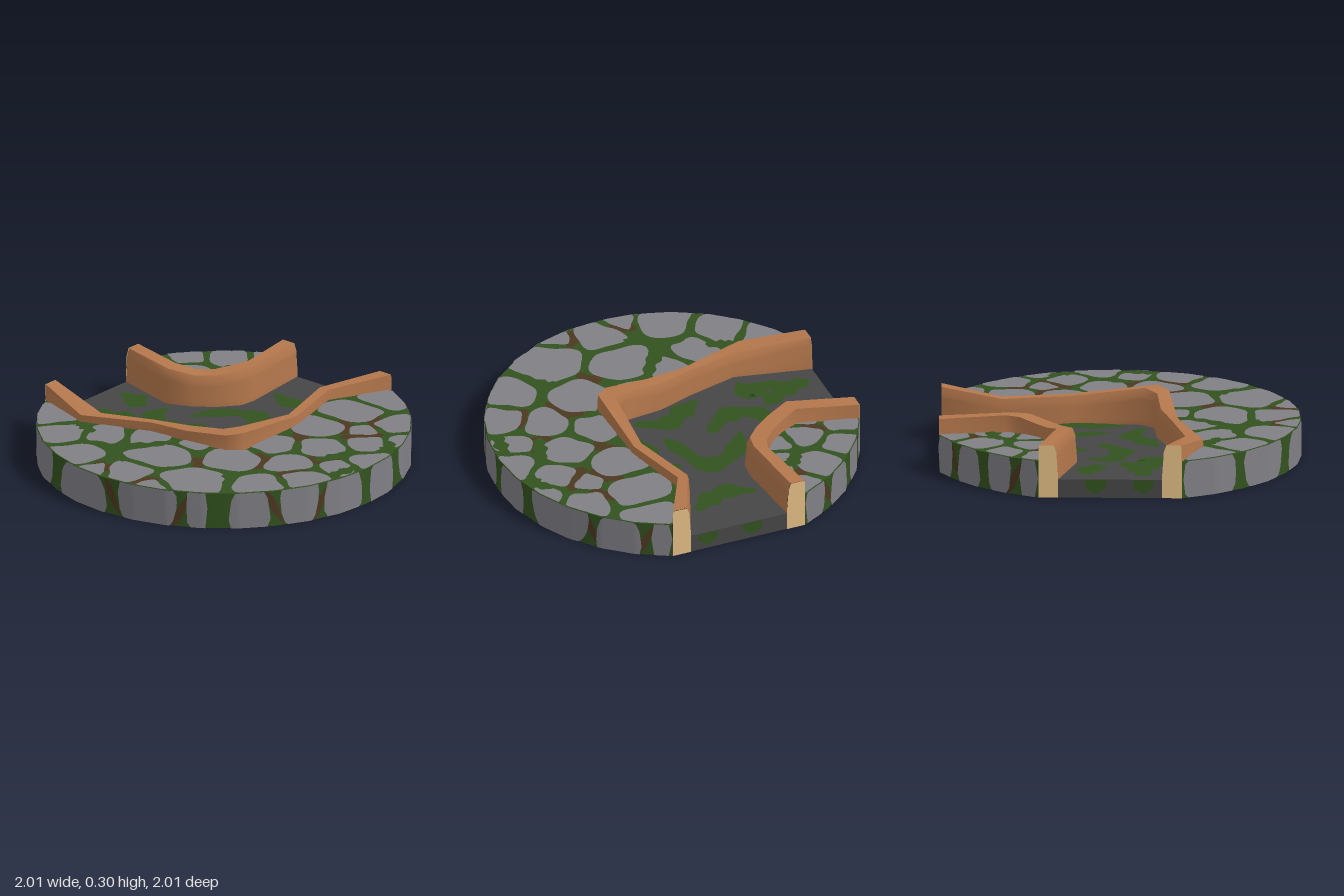
import * as THREE from 'three';
import { mergeGeometries, toCreasedNormals } from 'three/addons/utils/BufferGeometryUtils.js';

const material = (name, color) => {
  const m = new THREE.MeshStandardMaterial({ color, side: THREE.DoubleSide });
  m.name = name;
  return m;
};
const RAD = Math.PI / 180, TOP = 0.2, FLOOR = 0.1;

// Wall stations: channel side x, z, ground side x, z, top height
const MAIN_WALL = [
  [-0.85, -0.457, -0.924, -0.383, 0.29], [-0.62, -0.1, -0.765, -0.07, 0.237], [-0.37, 0.05, -0.395, 0.1, 0.252],
  [-0.19, 0.14, -0.22, 0.24, 0.255], [-0.03, 0.27, -0.02, 0.395, 0.285], [0.065, 0.27, 0.075, 0.4, 0.298],
  [0.33, 0.03, 0.39, 0.06, 0.25], [0.525, -0.32, 0.58, -0.27, 0.258], [0.85, -0.457, 0.924, -0.383, 0.287]];
const BACK_WALL = [
  [-0.457, -0.85, -0.383, -0.924, 0.286], [-0.27, -0.53, -0.21, -0.63, 0.292], [-0.13, -0.475, -0.1, -0.59, 0.27],
  [0, -0.46, 0, -0.58, 0.272], [0.13, -0.475, 0.11, -0.595, 0.29], [0.2, -0.53, 0.18, -0.63, 0.293],
  [0.457, -0.85, 0.383, -0.924, 0.286]];
// Wall cross-section: position across, height (zero or less counts down from the top)
const PROFILE = [[0, FLOOR], [0, 0.13], [0.07, -0.06], [0.07, -0.04], [0.21, 0], [0.97, 0], [1, TOP]];

// Paving stones: x, z, relative size
const FRONT_STONES = [
  [-0.9, -0.17, 0.13], [-0.87, 0.09, 0.13], [-0.65, 0.13, 0.11], [-0.83, 0.4, 0.15], [-0.36, 0.45, 0.18],
  [-0.57, 0.66, 0.15], [-0.24, 0.8, 0.2], [0, 0.53, 0.17], [0.3, 0.61, 0.14], [0.24, 0.35, 0.12], [0.12, 0.88, 0.14],
  [0.36, 0.82, 0.13], [0.5, 0.4, 0.14], [0.73, 0.37, 0.12], [0.72, -0.07, 0.17], [0.52, 0.12, 0.14], [0.89, 0.1, 0.12],
  [0.88, -0.22, 0.12], [0.73, 0.61, 0.12], [0.55, 0.68, 0.1], [0.92, 0.34, 0.08], [-0.42, 0.2, 0.1],
  [-0.18, 0.31, 0.08], [-0.46, 0.87, 0.1], [0.73, 0.17, 0.09], [-0.75, 0.62, 0.1]];
const BACK_STONES = [
  [-0.29, -0.83, 0.09], [-0.13, -0.9, 0.1], [-0.13, -0.73, 0.11], [0.1, -0.87, 0.12], [0.29, -0.88, 0.08],
  [0.22, -0.74, 0.06], [0.01, -0.63, 0.06], [0.12, -0.68, 0.05], [-0.25, -0.68, 0.06]];
// Rim stones: start and end angle in degrees from the front
const RIM_STONES = [
  [-112, -93], [-90, -70], [-65, -43], [-39, -19], [-16, -9.5], [-3, 10], [13, 26], [28, 43], [46.5, 60], [64, 86],
  [88.5, 103], [106, 112.5], [157.5, 167], [170, 181], [184, 193], [196, 202.5]];

const rimRadius = (a) => {
  const step = 11.25, local = a - step * (Math.floor(a / step) + 0.5);
  return Math.cos(step / 2 * RAD) / Math.cos(local * RAD);
};
const rimPoint = (a, y, out) => {
  const r = rimRadius(a) + out;
  return [Math.sin(a * RAD) * r, y, Math.cos(a * RAD) * r];
};
function arc(from, to) {
  const pts = [];
  for (let a = from; a <= to + 0.01; a += 11.25) pts.push([Math.sin(a * RAD), Math.cos(a * RAD)]);
  return pts;
}
const channelSide = ([x, z]) => [x, z];
const groundSide = ([, , x, z]) => [x, z];

// Surface through rows of points
function loft(rows) {
  const n = rows[0].length, index = [];
  for (let i = 0; i < rows.length - 1; i++) for (let j = 0; j < n - 1; j++) {
    const a = i * n + j, b = a + n;
    index.push(a, b, a + 1, b, b + 1, a + 1);
  }
  const g = new THREE.BufferGeometry();
  g.setAttribute('position', new THREE.Float32BufferAttribute(rows.flat(2), 3));
  g.setIndex(index);
  g.computeVertexNormals();
  return g;
}
// Flat sheet from x, z outline
const sheet = (pts, y) => new THREE.ShapeGeometry(new THREE.Shape(pts.map(([x, z]) => new THREE.Vector2(x, -z))))
  .rotateX(-Math.PI / 2).translate(0, y, 0);

function inside(x, z, poly) {
  let hit = false;
  poly.forEach(([ax, az], i) => {
    const [bx, bz] = poly[(i + 1) % poly.length];
    if ((az > z) !== (bz > z) && x < (bx - ax) * (z - az) / (bz - az) + ax) hit = !hit;
  });
  return hit;
}
// Rounded, slightly uneven outline that keeps a gap to its neighbours and stays within the ground
function stoneOutline(stone, all, ground) {
  const [x, z, size] = stone, pts = [];
  for (let k = 0; k < 40; k++) {
    const a = k * 9 * RAD, dx = Math.cos(a), dz = Math.sin(a);
    let sum = (1 / (size * 1.35)) ** 7;
    for (const o of all) {
      if (o === stone) continue;
      const ex = o[0] - x, ez = o[1] - z, d = Math.hypot(ex, ez);
      const c = (dx * ex + dz * ez) / d;
      if (c > 0) sum += (c / (d * size / (size + o[2]) - 0.014)) ** 7;
    }
    let r = sum ** (-1 / 7) * (0.97 + 0.05 * Math.sin(3 * a + x * 40) + 0.03 * Math.sin(5 * a + z * 50));
    while (r > 0.01 && !inside(x + dx * r, z + dz * r, ground)) r *= 0.97;
    pts.push([x + dx * r, z + dz * r]);
  }
  return pts;
}
// Flat tapered stroke along a smooth path
function stroke(path, width, y) {
  const curve = new THREE.CatmullRomCurve3(path.map(([x, z]) => new THREE.Vector3(x, y, z)));
  const rows = [];
  for (let i = 0; i <= 24; i++) {
    const t = i / 24, p = curve.getPoint(t), d = curve.getTangent(t);
    const w = width * Math.sqrt(Math.sin(Math.PI * t) + 0.02) * (1 + 0.25 * Math.sin(t * 17 + path[0][0] * 9));
    rows.push([[p.x - d.z * w, y, p.z + d.x * w], [p.x + d.z * w, y, p.z - d.x * w]]);
  }
  return loft(rows);
}
// Patch following the faceted rim
function rimPatch(from, to, shape, out) {
  const angles = [from, to];
  for (let a = Math.ceil(from / 1.125) * 1.125; a < to; a += 1.125) angles.push(a);
  angles.sort((p, q) => p - q);
  return loft(angles.map((a) => shape((a - from) / (to - from)).map((y) => rimPoint(a, y, out))));
}

export function createModel() {
  const model = new THREE.Group();
  const stone = material('grey stone', 0x807f85), moss = material('moss green', 0x32521f);
  const soil = material('brown soil', 0x4c3820), dark = material('dark channel bed', 0x464646);
  const clay = material('terracotta wall', 0xb4774c), cut = material('pale cut end', 0xe2bd84);
  const add = (name, geometry, mat) => {
    const m = new THREE.Mesh(geometry, mat);
    m.name = name;
    model.add(m);
  };
  const both = (y, off, make) => [make(y + off), make(y - off)];
  const strokes = (paths, width, y, off) => mergeGeometries(paths.flatMap((p) => both(y, off, (h) => stroke(p, width, h))));

  // Ground sheets and rims, open underneath
  const frontGround = [...arc(-112.5, 112.5), ...MAIN_WALL.map(groundSide).reverse().slice(1, -1)];
  const backGround = [...arc(157.5, 202.5), ...BACK_WALL.map(groundSide).slice(1, -1)];
  add('frontGround', sheet(frontGround, TOP), moss);
  add('backGround', sheet(backGround, TOP), moss);
  const wallStrip = (pts, h) => loft(pts.map(([x, z]) => [[x, 0, z], [x, h, z]]));
  add('frontRim', toCreasedNormals(wallStrip(arc(-112.5, 112.5), TOP), 0.4), moss);
  add('backRim', toCreasedNormals(wallStrip(arc(157.5, 202.5), TOP), 0.4), moss);

  // Paving stones on both faces of each sheet
  for (const [name, list, ground] of [['frontStones', FRONT_STONES, frontGround], ['backStones', BACK_STONES, backGround]]) {
    const outlines = list.map((s) => stoneOutline(s, list, ground));
    add(name, mergeGeometries(outlines.flatMap((o) => both(TOP, 0.004, (y) => sheet(o, y)))), stone);
  }
  // Soil showing in the gaps
  const soilPaths = [
    [[-0.2, 0.48], [-0.17, 0.56], [-0.2, 0.62]], [[0.14, 0.45], [0.17, 0.55], [0.12, 0.68]],
    [[-0.58, 0.78], [-0.52, 0.78], [-0.4, 0.76]], [[0.36, 0.3], [0.4, 0.22], [0.36, 0.12]],
    [[0.6, 0.27], [0.7, 0.25], [0.84, 0.24]], [[0.42, 0.52], [0.46, 0.58], [0.58, 0.55]],
    [[0.22, 0.74], [0.28, 0.76], [0.4, 0.71]], [[0.62, 0.02], [0.64, 0.11], [0.62, 0.22]],
    [[-0.72, 0.5], [-0.68, 0.58], [-0.69, 0.64]], [[0.82, -0.02], [0.8, 0.06], [0.8, 0.15]],
    [[-0.22, -0.8], [-0.2, -0.74], [-0.22, -0.66]], [[0.2, -0.86], [0.22, -0.82], [0.27, -0.8]]];
  add('soilGaps', strokes(soilPaths, 0.042, TOP, 0.002), soil);

  // Moss grown over the edges of some stones
  const overgrowth = [
    [[-0.75, 0.22], [-0.64, 0.29], [-0.6, 0.4], [-0.58, 0.52]], [[-0.78, -0.04], [-0.74, 0.02], [-0.71, 0.1]],
    [[-0.6, 0.27], [-0.45, 0.3], [-0.3, 0.26]], [[-0.06, 0.68], [-0.03, 0.76], [-0.06, 0.92]],
    [[0.44, 0.58], [0.52, 0.55], [0.62, 0.48]], [[0.5, 0.8], [0.58, 0.75], [0.66, 0.68]],
    [[0.78, 0.5], [0.84, 0.44], [0.86, 0.34]], [[0.06, -0.76], [0.14, -0.75], [0.24, -0.68]]];
  add('overgrownMoss', strokes(overgrowth, 0.036, TOP, 0.006), moss);

  // Rim stones with rounded corners, and soil streaks between some of them
  const rimStones = RIM_STONES.flatMap(([from, to], i) => {
    const mid = 0.1 + 0.06 * Math.sin(i * 2.3);
    const shape = (t) => {
      const h = 0.18 * Math.max(0, 1 - Math.abs(2 * t - 1) ** 3.5) ** 0.5;
      return [Math.max(0, mid - h), Math.min(TOP, mid + h)];
    };
    return [rimPatch(from, to, shape, 0.003), rimPatch(from, to, shape, -0.003)];
  });
  add('rimStones', mergeGeometries(rimStones), stone);
  const streaks = [-41, -17.5, 11.5, 27, 87, 104.5, 168.5, 194.5].flatMap((a, i) => {
    const shape = (t) => (i % 2 ? [0.2 * t * t, 0.2 * Math.sqrt(t)] : [0.2 - 0.2 * Math.sqrt(t), 0.2 - 0.2 * t * t]);
    return [0.0015, -0.0015].map((out) => rimPatch(a - 3, a + 3, shape, out));
  });
  add('rimSoil', mergeGeometries(streaks), soil);

  // Sunken channel bed, running under the wall at the front, with its two open ends
  const bedFront = MAIN_WALL.map((station, i) => (i < 6 ? groundSide : channelSide)(station));
  add('channelBed', sheet([...bedFront, ...BACK_WALL.map(channelSide).reverse()], FLOOR), dark);
  for (const s of [-1, 1]) {
    add('channelEnd', wallStrip([[s * 0.924, -0.383], [s * 0.383, -0.924]], FLOOR), dark);
    for (const x of [0.74, 0.56]) {
      const top = FLOOR - 0.002, at = (k, y) => [s * (k + 0.002), y, k - 1.309];
      add('channelEndMoss', loft([[at(x, 0.05), at(x, top)], [at(x + 0.04, 0.02), at(x + 0.04, top)],
        [at(x + 0.08, 0.06), at(x + 0.08, top)]]), moss);
    }
  }
  const mossPaths = [
    [[-0.74, -0.48], [-0.62, -0.4], [-0.44, -0.36]], [[-0.66, -0.36], [-0.58, -0.27], [-0.5, -0.24], [-0.58, -0.14]],
    [[-0.26, -0.46], [-0.35, -0.36], [-0.31, -0.24], [-0.22, -0.19], [-0.08, -0.19]],
    [[-0.16, -0.33], [0, -0.37], [0.13, -0.35], [0.2, -0.28], [0.14, -0.13], [0.06, 0.02]],
    [[0.32, -0.62], [0.4, -0.47], [0.5, -0.42], [0.62, -0.4]], [[-0.34, 0], [-0.2, 0.03], [-0.08, 0.06], [0, 0.22]],
    [[0.26, -0.16], [0.33, -0.04], [0.22, 0.06], [0.1, 0.19]], [[-0.5, -0.68], [-0.42, -0.57], [-0.46, -0.48]]];
  add('channelMoss', strokes(mossPaths, 0.062, FLOOR, 0.004), moss);

  // Terracotta retaining walls, open underneath, with pale cut ends
  for (const [name, wall] of [['mainWall', MAIN_WALL], ['backWall', BACK_WALL]]) {
    const rows = wall.map(([ax, az, bx, bz, h]) => PROFILE.map(([s, y]) =>
      [ax + (bx - ax) * s, y > 0 ? y : h + y, az + (bz - az) * s]));
    add(name, toCreasedNormals(loft(rows), 0.95), clay);
    for (const row of [rows[0], rows[rows.length - 1]]) {
      const side = Math.sign(row[0][0]) * 0.002;
      const end = row.map(([x, y, z]) => [x + side, y, z - 0.002]);
      add(name + 'End', loft([end.map(([x, , z]) => [x, 0, z]), end]), cut);
    }
  }
  return model;
}
